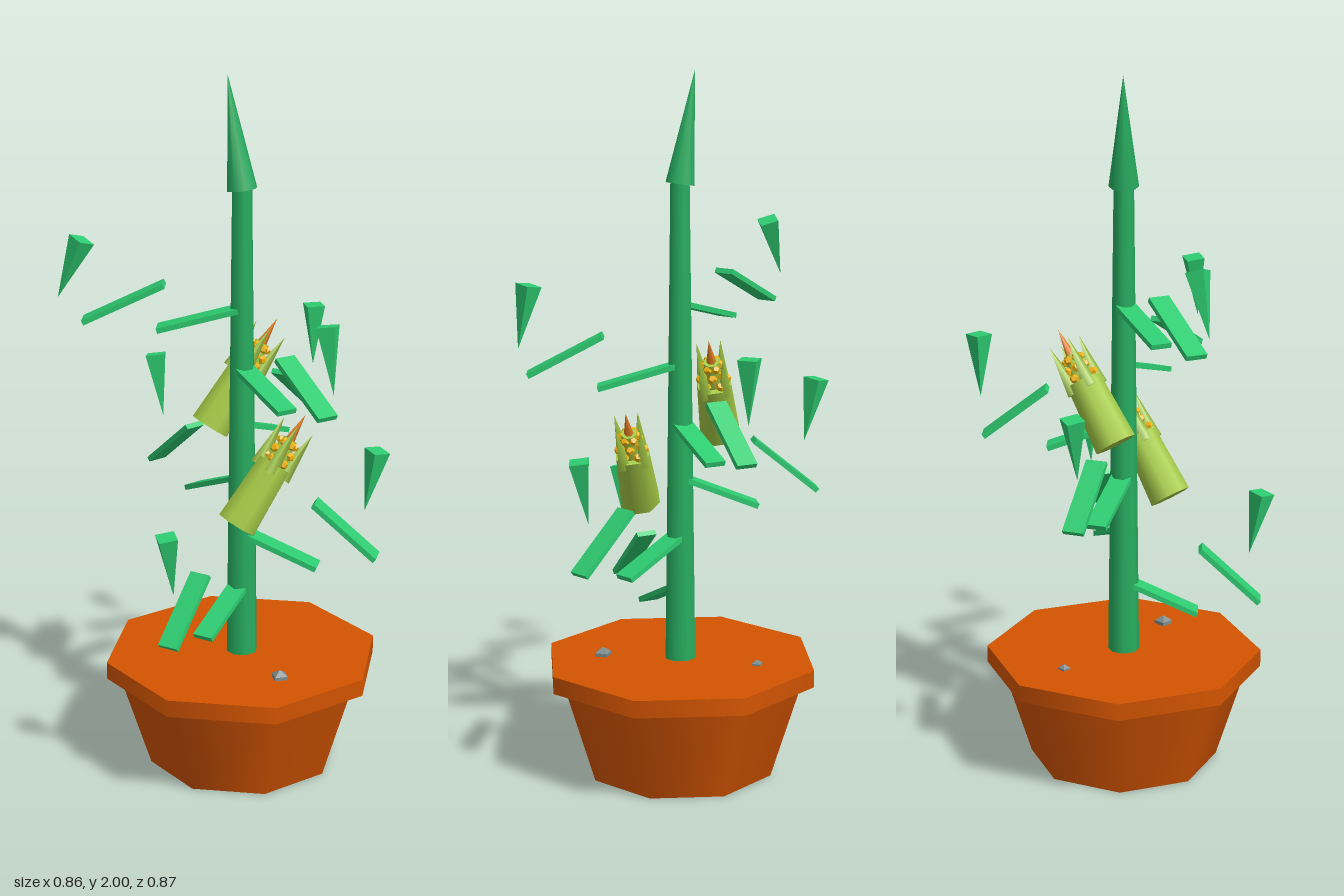
import * as THREE from 'three';

const CX = 0.022, CZ = 0.008; // stalk axis

const paint = (color, flat = false) => new THREE.MeshStandardMaterial({ color, flatShading: flat });
const terracotta = paint(0xd35400);
const stemGreen = paint(0x27ae60);
const leafGreen = paint(0x2ecc71, true);
const huskGreen = paint(0xa6cc46);
const kernelYellow = paint(0xf1b40f, true);
const tipOrange = paint(0xe67e22);
const stoneGrey = paint(0x7f8c8d, true);

function add(parent, name, geometry, material, x = 0, y = 0, z = 0) {
  const mesh = new THREE.Mesh(geometry, material);
  mesh.name = name;
  mesh.position.set(x, y, z);
  parent.add(mesh);
  return mesh;
}

// Flat leaf strip between two (radius, height) points, drooping outwards
function slab(parent, name, r0, y0, r1, y1) {
  const geometry = new THREE.BoxGeometry(0.06, 0.015, Math.hypot(r1 - r0, y1 - y0));
  const mesh = add(parent, name, geometry, leafGreen, 0, (y0 + y1) / 2, (r0 + r1) / 2);
  mesh.rotation.x = Math.atan2(y0 - y1, r1 - r0);
}

// Hanging four-sided tip from its base to its apex
function leafTip(parent, r0, y0, r1, y1) {
  const geometry = new THREE.ConeGeometry(0.037, Math.hypot(r1 - r0, y1 - y0), 4);
  const mesh = add(parent, 'leafTip', geometry, leafGreen, 0, (y0 + y1) / 2, (r0 + r1) / 2);
  mesh.rotation.x = Math.atan2(r1 - r0, y1 - y0);
}

function makeLeaf({ dir, inner, outer, tip }) {
  const leaf = new THREE.Group();
  leaf.name = 'leaf';
  leaf.position.set(CX, 0, CZ);
  leaf.rotation.y = Math.atan2(dir[0], dir[1]);
  slab(leaf, 'innerLeaf', ...inner);
  slab(leaf, 'outerLeaf', ...outer);
  leafTip(leaf, ...tip);
  return leaf;
}

function makeCob(x, y, z) {
  const cob = new THREE.Group();
  cob.name = 'cob';
  cob.position.set(x, y, z);
  const axis = new THREE.Vector3(0.085, 0.205, -0.115).normalize();
  cob.quaternion.setFromUnitVectors(new THREE.Vector3(0, 1, 0), axis);

  add(cob, 'husk', new THREE.CylinderGeometry(0.05, 0.06, 0.2, 8), huskGreen, 0, 0.1, 0);
  add(cob, 'core', new THREE.CylinderGeometry(0.022, 0.035, 0.09, 8), huskGreen, 0, 0.235, 0);
  add(cob, 'cobTip', new THREE.ConeGeometry(0.017, 0.1, 6), tipOrange, 0, 0.31, 0);

  // Pointed husk leaves around the rim
  for (let i = 0; i < 4; i++) {
    const a = (i * Math.PI) / 2 + 0.4;
    const spike = add(cob, 'huskLeaf', new THREE.ConeGeometry(0.024, 0.15, 4), huskGreen,
      0.042 * Math.sin(a), 0.25, 0.042 * Math.cos(a));
    spike.rotation.set(0.06, a, 0, 'YXZ');
  }

  // Rings of kernels
  for (let row = 0; row < 3; row++) {
    const r = 0.036 - row * 0.007;
    for (let i = 0; i < 6; i++) {
      const a = ((i + row / 2) * Math.PI) / 3;
      const kernel = add(cob, 'kernel', new THREE.DodecahedronGeometry(0.013), kernelYellow,
        r * Math.sin(a), 0.212 + row * 0.027, r * Math.cos(a));
      kernel.rotation.y = a;
    }
  }
  return cob;
}

export function createModel() {
  const model = new THREE.Group();
  model.name = 'pottedCornPlant';

  // Pot
  add(model, 'potBody', new THREE.CylinderGeometry(0.36, 0.272, 0.28, 8), terracotta, CX, 0.14, CZ);
  add(model, 'potRim', new THREE.CylinderGeometry(0.398, 0.398, 0.05, 8), terracotta, CX, 0.305, CZ);

  // Stones on the soil
  for (const [x, z, r] of [[0.215, 0.12, 0.03], [-0.14, -0.155, 0.02]]) {
    add(model, 'stone', new THREE.SphereGeometry(r, 4, 3), stoneGrey, x, 0.325, z);
  }

  // Stalk and its leaning point
  add(model, 'stalk', new THREE.CylinderGeometry(0.028, 0.045, 1.38, 8), stemGreen, CX, 1.01, CZ);
  const point = add(model, 'stalkTip', new THREE.ConeGeometry(0.042, 0.312, 8), stemGreen,
    CX - 0.023, 1.845, CZ);
  point.rotation.z = 0.148;

  // Leaves: direction (x, z), then (radius, height) ends of each piece
  const leaves = [
    { dir: [-0.38, 0.2], inner: [0.01, 1.355, 0.235, 1.295], outer: [0.215, 1.423, 0.44, 1.315], tip: [0.44, 1.545, 0.51, 1.38] },
    { dir: [0.375, 0.19], inner: [0.01, 1.185, 0.23, 1.12], outer: [0.215, 1.268, 0.425, 1.157], tip: [0.42, 1.41, 0.452, 1.23] },
    { dir: [0, -1], inner: [0.01, 1.018, 0.215, 0.945], outer: [0.215, 1.115, 0.395, 0.978], tip: [0.405, 1.27, 0.403, 1.09] },
    { dir: [-0.367, -0.122], inner: [0.01, 0.86, 0.22, 0.775], outer: [0.21, 0.963, 0.39, 0.815], tip: [0.388, 1.135, 0.355, 0.955] },
    { dir: [0.366, -0.12], inner: [0.01, 0.695, 0.22, 0.61], outer: [0.21, 0.803, 0.388, 0.653], tip: [0.385, 0.972, 0.352, 0.79] },
    { dir: [0, 1], inner: [0.01, 0.54, 0.212, 0.447], outer: [0.22, 0.643, 0.39, 0.485], tip: [0.392, 0.812, 0.36, 0.63] },
  ];
  for (const leaf of leaves) model.add(makeLeaf(leaf));

  // Corn cobs
  model.add(makeCob(0.085, 0.775, 0.14));
  model.add(makeCob(-0.095, 0.988, -0.01));

  return model;
}
